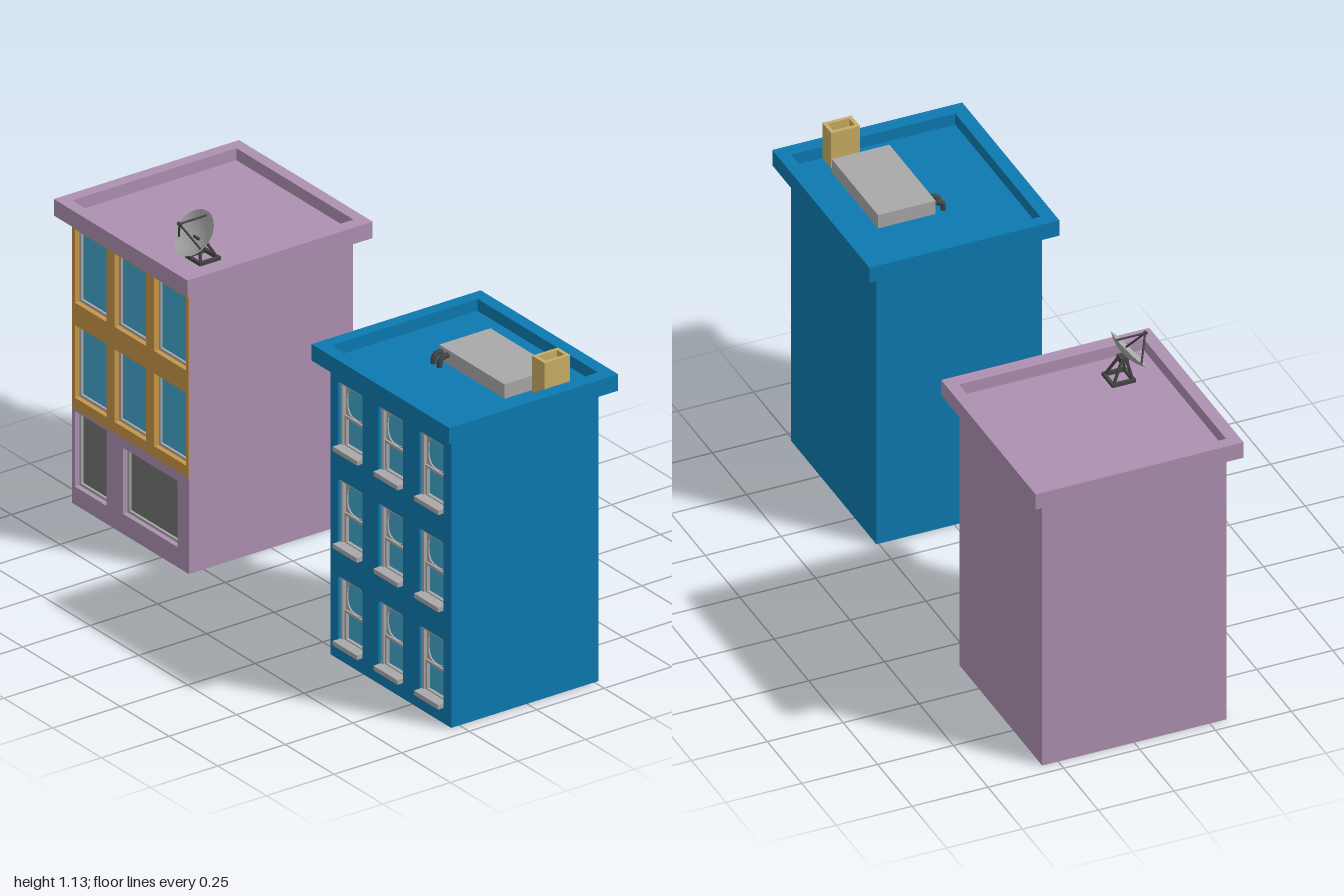
import * as THREE from 'three';

const mat = (name, color) => {
  const m = new THREE.MeshStandardMaterial({ color });
  m.name = name;
  return m;
};

export function createModel() {
  const root = new THREE.Group();
  const mauve = mat('mauve wall', 0xae90b2);
  const ochre = mat('ochre wall', 0xc79648);
  const blue = mat('blue wall', 0x0d7ab0);
  const glass = mat('window glass', 0x43a5cb);
  const shopGlass = mat('shop glass', 0x737373);
  const gray = mat('gray trim', 0xa8a8a8);
  const tan = mat('chimney tan', 0xc8ad64);
  const dark = mat('dark metal', 0x444444);
  const inner = mat('chimney inside', 0x9c8240);

  const add = (parent, name, geo, material) => {
    const m = new THREE.Mesh(geo, material);
    m.name = name;
    parent.add(m);
    return m;
  };
  const group = (parent, name) => {
    const g = new THREE.Group();
    g.name = name;
    parent.add(g);
    return g;
  };
  // Box given by its limits on each axis
  const box = (parent, name, material, x0, x1, y0, y1, z0, z1) => {
    const m = add(parent, name, new THREE.BoxGeometry(x1 - x0, y1 - y0, z1 - z0), material);
    m.position.set((x0 + x1) / 2, (y0 + y1) / 2, (z0 + z1) / 2);
    return m;
  };
  // Rectangle outline, with optional rounded corners
  const rect = ([x0, x1, y0, y1], r = 0, Type = THREE.Path) => {
    const p = new Type();
    if (!r) {
      p.moveTo(x0, y0).lineTo(x1, y0).lineTo(x1, y1).lineTo(x0, y1).closePath();
      return p;
    }
    p.moveTo(x0 + r, y0);
    p.lineTo(x1 - r, y0).quadraticCurveTo(x1, y0, x1, y0 + r);
    p.lineTo(x1, y1 - r).quadraticCurveTo(x1, y1, x1 - r, y1);
    p.lineTo(x0 + r, y1).quadraticCurveTo(x0, y1, x0, y1 - r);
    p.lineTo(x0, y0 + r).quadraticCurveTo(x0, y0, x0 + r, y0);
    return p;
  };
  // Plate from z0 to z1 pierced by a list of holes
  const panel = (parent, name, material, outline, holes, z0, z1, r = 0) => {
    const s = rect(outline, r, THREE.Shape);
    s.holes = holes;
    const geo = new THREE.ExtrudeGeometry(s, { depth: z1 - z0, bevelEnabled: false, curveSegments: 4 });
    return add(parent, name, geo.translate(0, 0, z0), material);
  };
  // Flat rim around a sunken roof
  const cornice = (parent, material, o, i, y0, floor, y1) => {
    box(parent, 'corniceSlab', material, o[0], o[1], y0, floor, o[2], o[3]);
    const s = rect([o[0], o[1], -o[3], -o[2]], 0, THREE.Shape);
    s.holes = [rect([i[0], i[1], -i[3], -i[2]])];
    const geo = new THREE.ExtrudeGeometry(s, { depth: y1 - floor, bevelEnabled: false });
    add(parent, 'parapet', geo.rotateX(-Math.PI / 2).translate(0, floor, 0), material);
  };
  const inset = ([a, b, c, d], t) => [a + t, b - t, c + t, d - t];
  // Straight rod between two points
  const rod = (parent, name, a, b, r) => {
    const p = new THREE.Vector3(...a), q = new THREE.Vector3(...b);
    const m = add(parent, name, new THREE.CylinderGeometry(r, r, p.distanceTo(q), 8), dark);
    m.position.copy(p).lerp(q, 0.5);
    m.quaternion.setFromUnitVectors(new THREE.Vector3(0, 1, 0), q.sub(p).normalize());
  };

  // ---- Shop building ----
  const shop = group(root, 'shopBuilding');
  box(shop, 'shopBody', mauve, -0.96, -0.36, 0, 0.955, -0.303, 0.275);
  for (const x of [-0.96, -0.362]) box(shop, 'facadeEdge', mauve, x, x + 0.002, 0.32, 0.955, 0.275, 0.304);
  cornice(shop, mauve, [-1, -0.315, -0.343, 0.343], [-0.96, -0.36, -0.304, 0.303], 0.955, 0.97, 1.01);

  const upper = [];
  for (const [y0, y1] of [[0.357, 0.6], [0.675, 0.92]])
    for (const x of [-0.945, -0.741, -0.538]) upper.push([x, x + 0.162, y0, y1]);
  const lower = [[-0.945, -0.783, 0.06, 0.312], [-0.697, -0.418, 0.067, 0.288]];
  panel(shop, 'upperFacade', ochre, [-0.958, -0.362, 0.32, 0.955], upper.map((w) => rect(w)), 0.275, 0.305);
  panel(shop, 'groundFacade', mauve, [-0.96, -0.36, 0, 0.32], lower.map((w) => rect(w)), 0.275, 0.305);
  for (const [list, pane] of [[upper, glass], [lower, shopGlass]]) {
    for (const w of list) {
      panel(shop, 'windowFrame', gray, w, [rect(inset(w, 0.009))], 0.275, 0.288);
      box(shop, 'windowPane', pane, ...inset(w, 0.005), 0.274, 0.28);
    }
  }

  // Satellite dish: bowl, feed arms and a splayed stand
  const dish = group(shop, 'satelliteDish');
  const cx = -0.475, cy = 1.066, cz = 0.203;
  const profile = [];
  for (let i = 0; i <= 6; i++) {
    const r = 0.077 * i / 6;
    profile.push(new THREE.Vector2(Math.max(r, 0.0001), 3.6 * r * r - 0.021));
  }
  const bowlMat = gray.clone();
  bowlMat.name = 'dish gray';
  bowlMat.side = THREE.DoubleSide;
  const head = group(dish, 'dishHead');
  head.position.set(cx, cy, cz);
  head.rotation.x = 0.877;
  add(head, 'bowl', new THREE.LatheGeometry(profile, 20), bowlMat);
  for (let i = 0; i < 3; i++) {
    const a = -Math.PI / 2 + i * Math.PI * 2 / 3;
    rod(head, 'feedArm', [0.064 * Math.cos(a), -0.006, 0.064 * Math.sin(a)], [0, 0.07, 0], 0.0032);
  }
  add(head, 'feed', new THREE.CylinderGeometry(0.006, 0.006, 0.014, 8), dark).position.y = 0.069;
  const standZ = 0.17;
  for (const sx of [-1, 1]) {
    box(dish, 'baseRail', dark, cx + sx * 0.034 - 0.005, cx + sx * 0.034 + 0.005, 0.97, 0.982, standZ - 0.039, standZ + 0.039);
    box(dish, 'baseRail', dark, cx - 0.034, cx + 0.034, 0.97, 0.981, standZ + sx * 0.034 - 0.005, standZ + sx * 0.034 + 0.005);
    for (const sz of [-1, 1])
      rod(dish, 'standLeg', [cx + sx * 0.032, 0.975, standZ + sz * 0.032], [cx + sx * 0.012, 1.04, 0.182 + sz * 0.008], 0.005);
  }
  box(dish, 'standHead', dark, cx - 0.016, cx + 0.016, 1.03, 1.05, 0.17, 0.196);

  // ---- Apartment building ----
  const flats = group(root, 'apartmentBuilding');
  box(flats, 'apartmentBody', blue, 0.337, 0.957, 0.004, 0.98, -0.26, 0.255);
  cornice(flats, blue, [0.295, 1, -0.302, 0.324], [0.337, 0.954, -0.26, 0.28], 0.98, 0.995, 1.035);

  const openings = [];
  for (const y of [0.055, 0.38, 0.705])
    for (const x of [0.377, 0.585, 0.793]) openings.push([x, x + 0.124, y, y + 0.228]);
  panel(flats, 'apartmentFacade', blue, [0.337, 0.957, 0.004, 0.98], openings.map((w) => rect(w, 0.008)), 0.255, 0.285);
  for (const w of openings) {
    const [x0, x1, y0, y1] = w;
    const win = group(flats, 'sashWindow');
    panel(win, 'outerFrame', gray, w, [rect(inset(w, 0.011))], 0.255, 0.276, 0.008);
    // Arched upper sash and square lower sash
    const up = [x0 + 0.01, x1 - 0.01, y0 + 0.108, y1 - 0.01];
    const low = [x0 + 0.01, x1 - 0.01, y0 + 0.01, y0 + 0.115];
    panel(win, 'upperSash', gray, up, [rect(inset(up, 0.007), 0.04)], 0.255, 0.264);
    panel(win, 'lowerSash', gray, low, [rect(inset(low, 0.009))], 0.255, 0.27);
    box(win, 'pane', glass, ...inset(w, 0.012), 0.254, 0.259);
    box(win, 'sill', gray, x0, x1, y0, y0 + 0.015, 0.257, 0.305);
  }

  // Rooftop unit with two bent pipes
  box(flats, 'rooftopUnit', gray, 0.535, 0.87, 0.995, 1.043, -0.165, 0.025);
  for (const x of [0.549, 0.581]) {
    const path = new THREE.CatmullRomCurve3([[0.01, 1.026], [0.04, 1.026], [0.054, 1.017], [0.057, 0.995]]
      .map(([z, y]) => new THREE.Vector3(x, y, z)));
    add(flats, 'pipe', new THREE.TubeGeometry(path, 10, 0.009, 8), dark);
  }

  // Hollow chimney
  const flue = [0.89, 0.953, 0.063, 0.158];
  const chimney = panel(flats, 'chimney', tan, flue, [rect(inset(flue, 0.012))], 0, 0.127);
  chimney.rotation.x = -Math.PI / 2;
  chimney.position.y = 0.995;
  box(flats, 'flueFloor', inner, 0.9, 0.943, 0.995, 1.085, -0.148, -0.073);

  return root;
}
